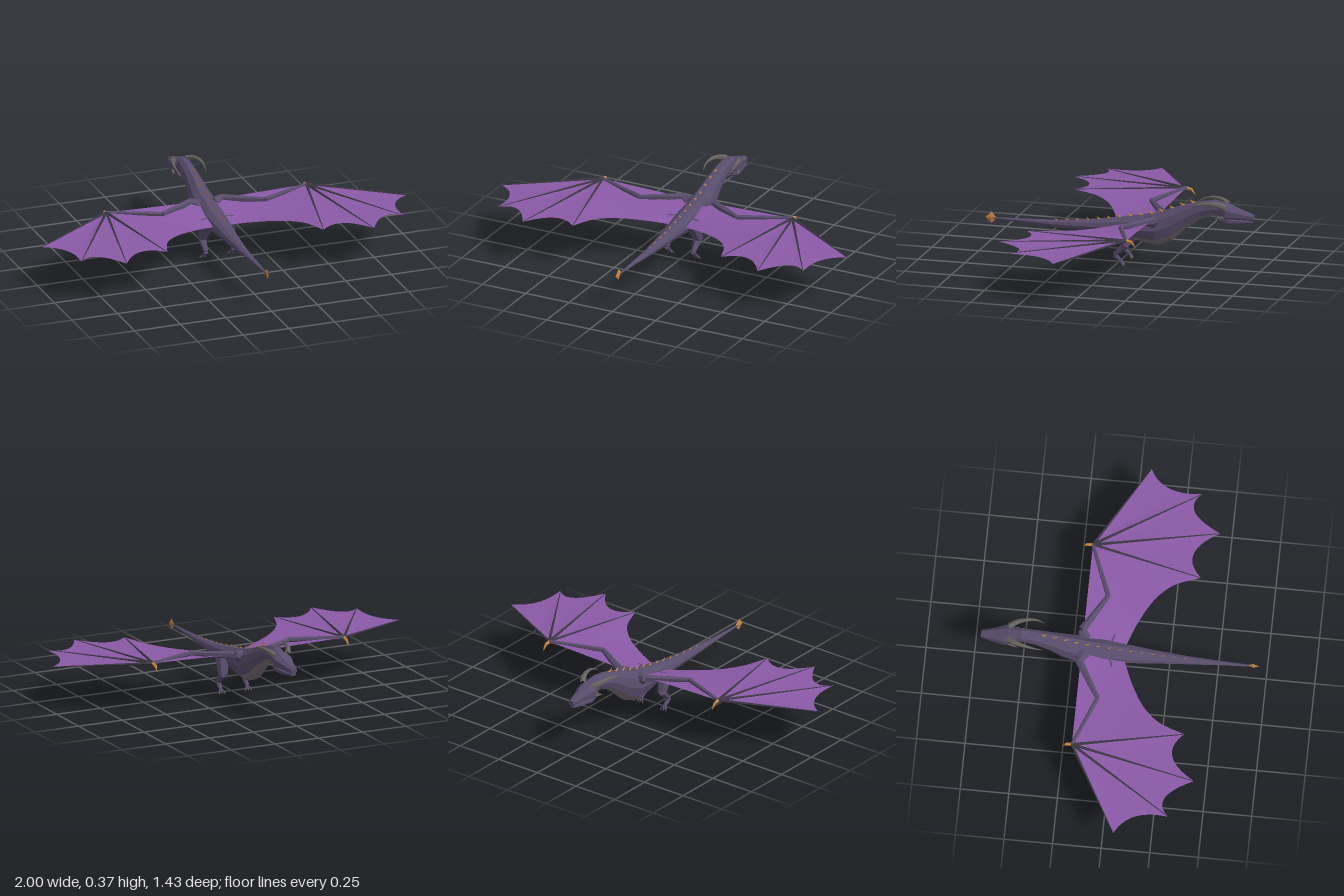
import * as THREE from 'three';

const mat = (name, color, side = THREE.FrontSide) => {
  const m = new THREE.MeshStandardMaterial({ color, side });
  m.name = name;
  return m;
};
const V = (x, y, z) => new THREE.Vector3(x, y, z);

export function createModel() {
  const hide = mat('hide', 0x584c6b);
  const belly = mat('belly', 0x756b72);
  const bone = mat('wing bone', 0x3b3644);
  const horn = mat('horn', 0x66625f);
  const membrane = mat('membrane', 0x8a59a6, THREE.DoubleSide);
  const spike = mat('spike', 0xc98742);

  const root = new THREE.Group();
  root.name = 'dragon';
  const add = (name, geo, material, parent = root) => {
    const mesh = new THREE.Mesh(geo, material);
    mesh.name = name;
    parent.add(mesh);
    return mesh;
  };
  const facet = (geo) => {
    const g = geo.index ? geo.toNonIndexed() : geo;
    g.computeVertexNormals();
    return g;
  };

  // Faceted loft through rings [z, top, bottom, halfWidth], listed front to back.
  // The lowest faces go into a second group for the belly material.
  const loft = (rings, sides, bellyFrom = 1, bellyTo = 0) => {
    const hidePos = [], bellyPos = [];
    const at = (i, k) => {
      const [z, top, bot, w] = rings[i];
      const a = ((k + 0.5) / sides) * Math.PI * 2 - Math.PI / 2;
      return [Math.cos(a) * w, (top + bot) / 2 + Math.sin(a) * (top - bot) / 2 / Math.cos(Math.PI / sides), z];
    };
    for (let i = 0; i < rings.length - 1; i++) {
      for (let k = 0; k < sides; k++) {
        const a = at(i, k), b = at(i, k + 1), c = at(i + 1, k + 1), d = at(i + 1, k);
        const low = k === 0 || k === sides - 1 || k === sides - 2;
        const out = low && i >= bellyFrom && i < bellyTo ? bellyPos : hidePos;
        out.push(...a, ...b, ...c, ...a, ...c, ...d);
      }
    }
    // End caps
    for (let k = 1; k < sides - 1; k++) {
      const e = rings.length - 1;
      hidePos.push(...at(0, 0), ...at(0, k + 1), ...at(0, k));
      hidePos.push(...at(e, 0), ...at(e, k), ...at(e, k + 1));
    }
    const g = new THREE.BufferGeometry();
    g.setAttribute('position', new THREE.Float32BufferAttribute([...hidePos, ...bellyPos], 3));
    g.addGroup(0, hidePos.length / 3, 0);
    g.addGroup(hidePos.length / 3, bellyPos.length / 3, 1);
    g.computeVertexNormals();
    return g;
  };

  // Tapered faceted rod between two points
  const rod = (name, a, b, ra, rb, material, parent, sides = 6) => {
    const d = b.clone().sub(a);
    const mesh = add(name, facet(new THREE.CylinderGeometry(rb, ra, d.length(), sides)), material, parent);
    mesh.position.copy(a).addScaledVector(d, 0.5);
    mesh.quaternion.setFromUnitVectors(V(0, 1, 0), d.normalize());
    return mesh;
  };

  // Neck, trunk and tail
  const bodyRings = [
    [-0.575, 0.348, 0.275, 0.036], [-0.51, 0.363, 0.283, 0.036], [-0.44, 0.352, 0.262, 0.038],
    [-0.36, 0.330, 0.205, 0.046], [-0.285, 0.303, 0.138, 0.058], [-0.21, 0.275, 0.108, 0.068],
    [-0.13, 0.258, 0.118, 0.066], [-0.06, 0.245, 0.140, 0.060], [0.03, 0.229, 0.148, 0.052],
    [0.17, 0.209, 0.152, 0.037], [0.34, 0.194, 0.158, 0.023], [0.52, 0.188, 0.170, 0.012],
    [0.69, 0.184, 0.178, 0.004],
  ];
  add('body', loft(bodyRings, 10, 0, 7), [hide, belly]);

  // Head
  const head = new THREE.Group();
  head.name = 'head';
  root.add(head);
  add('skull', loft([
    [-0.718, 0.299, 0.270, 0.017], [-0.70, 0.306, 0.269, 0.023], [-0.65, 0.321, 0.268, 0.034],
    [-0.60, 0.340, 0.266, 0.050], [-0.575, 0.348, 0.262, 0.054], [-0.53, 0.352, 0.275, 0.036],
  ], 8), [hide, belly], head);
  add('jaw', loft([
    [-0.710, 0.272, 0.257, 0.015], [-0.66, 0.276, 0.249, 0.028], [-0.59, 0.284, 0.242, 0.043],
    [-0.53, 0.300, 0.258, 0.034],
  ], 8), [hide, belly], head);

  // Height of the back along the spine
  const backY = (z) => {
    const i = Math.max(1, bodyRings.findIndex((r) => r[0] >= z));
    const [a, b] = [bodyRings[i - 1], bodyRings[i]];
    return THREE.MathUtils.lerp(a[1], b[1], (z - a[0]) / (b[0] - a[0]));
  };
  // Flat spines leaning toward the tail
  for (let i = 0; i < 14; i++) {
    const z = -0.40 + i * 0.056;
    const size = 1 - 0.03 * i;
    const y = backY(z);
    const fin = rod('spine', V(0, y - 0.006, z), V(0, y + 0.014 * size, z + 0.022 * size), 0.012 * size, 0.001, spike, root, 4);
    fin.scale.x = 0.5;
  }
  // Tail blade
  const blade = add('tailBlade', facet(new THREE.OctahedronGeometry(1)), spike);
  blade.scale.set(0.006, 0.03, 0.032);
  blade.position.set(0, 0.182, 0.683);

  // Thin sheet between two edges, each a function of t in 0..1
  const sheet = (name, edgeA, edgeB, sag, parent) => {
    const n = 14, m = 8, pos = [], idx = [];
    for (let i = 0; i <= n; i++) {
      for (let j = 0; j <= m; j++) {
        const p = edgeA(i / n).lerp(edgeB(i / n), j / m);
        p.y -= sag * Math.sin(Math.PI * i / n) * Math.sin(Math.PI * j / m);
        pos.push(p.x, p.y, p.z);
        if (i < n && j < m) {
          const a = i * (m + 1) + j, b = a + m + 1;
          idx.push(a, b, a + 1, b, b + 1, a + 1);
        }
      }
    }
    const g = new THREE.BufferGeometry();
    g.setAttribute('position', new THREE.Float32BufferAttribute(pos, 3));
    g.setIndex(idx);
    g.computeVertexNormals();
    add(name, g, membrane, parent);
  };

  for (const s of [1, -1]) {
    const side = s > 0 ? 'left' : 'right';
    const P = (x, y, z) => V(s * x, y, z);

    // Wing
    const wing = new THREE.Group();
    wing.name = side + 'Wing';
    root.add(wing);
    const shoulder = P(0.045, 0.235, -0.19), bend = P(0.085, 0.252, -0.205);
    const elbow = P(0.28, 0.258, -0.09), wrist = P(0.547, 0.264, -0.196);
    rod('shoulder', shoulder, bend, 0.036, 0.022, hide, wing);
    rod('upperArm', bend, elbow, 0.022, 0.012, hide, wing);
    rod('forearm', elbow, wrist, 0.013, 0.010, hide, wing);
    // Hooked thumb claw
    const hook = P(0.547, 0.258, -0.225);
    rod('thumb', wrist, hook, 0.009, 0.008, spike, wing, 5);
    rod('thumbClaw', hook, P(0.547, 0.232, -0.245), 0.008, 0.001, spike, wing, 5);
    const tips = [P(0.997, 0.236, 0.062), P(0.884, 0.243, 0.335), P(0.678, 0.245, 0.446), P(0.428, 0.245, 0.372)];
    tips.forEach((tip) => rod('finger', wrist, tip, 0.008, 0.002, bone, wing, 5));

    // Membrane panels with scalloped rear edges
    const dips = [P(0.855, 0.240, 0.13), P(0.785, 0.244, 0.22), P(0.555, 0.246, 0.235)];
    dips.forEach((dip, i) => {
      const edge = new THREE.QuadraticBezierCurve3(tips[i], dip, tips[i + 1]);
      sheet('outerMembrane', () => wrist.clone(), (t) => edge.getPoint(t), 0.004, wing);
    });
    const rear = new THREE.CatmullRomCurve3([
      tips[3], P(0.375, 0.239, 0.235), P(0.29, 0.228, 0.145), P(0.16, 0.212, 0.072), P(0.04, 0.197, 0.025)]);
    const front = new THREE.LineCurve3(wrist, P(0.04, 0.252, -0.197));
    sheet('innerMembrane', (t) => front.getPoint(t), (t) => rear.getPoint(t), 0.008, wing);

    // Hind leg
    const leg = new THREE.Group();
    leg.name = side + 'Leg';
    root.add(leg);
    const hip = P(0.062, 0.205, -0.015), knee = P(0.078, 0.105, -0.058);
    const heel = P(0.076, 0.055, 0.002), foot = P(0.076, 0.026, -0.03);
    rod('thigh', hip, knee, 0.040, 0.024, hide, leg, 7);
    rod('shin', knee.clone().add(V(0, 0.008, 0)), heel, 0.021, 0.012, hide, leg);
    rod('ankle', heel, foot, 0.013, 0.010, hide, leg);
    for (const k of [-1, 0, 1]) {
      const toe = P(0.076 + k * 0.013, 0.014, -0.041);
      rod('toe', foot, toe, 0.008, 0.005, hide, leg, 5);
      rod('claw', toe, P(0.076 + k * 0.018, 0.001, -0.05), 0.005, 0.0008, horn, leg, 5);
    }

    // Curved horn tapering to a point
    const path = new THREE.CatmullRomCurve3([
      P(0.034, 0.335, -0.575), P(0.054, 0.350, -0.545), P(0.071, 0.358, -0.49),
      P(0.078, 0.350, -0.44), P(0.073, 0.328, -0.395)]);
    const segs = 10, sides = 6;
    const hornGeo = new THREE.TubeGeometry(path, segs, 0.017, sides);
    const hp = hornGeo.attributes.position, v = V(0, 0, 0);
    for (let i = 0; i < hp.count; i++) {
      const t = Math.floor(i / (sides + 1)) / segs, c = path.getPointAt(t);
      v.fromBufferAttribute(hp, i).sub(c).multiplyScalar(1 - 0.95 * t).add(c);
      hp.setXYZ(i, v.x, v.y, v.z);
    }
    add(side + 'Horn', facet(hornGeo), horn, head);

    // Cheek spike
    rod('cheekSpike', P(0.04, 0.285, -0.57), P(0.056, 0.28, -0.525), 0.010, 0.001, horn, head, 5);
  }
  return root;
}
